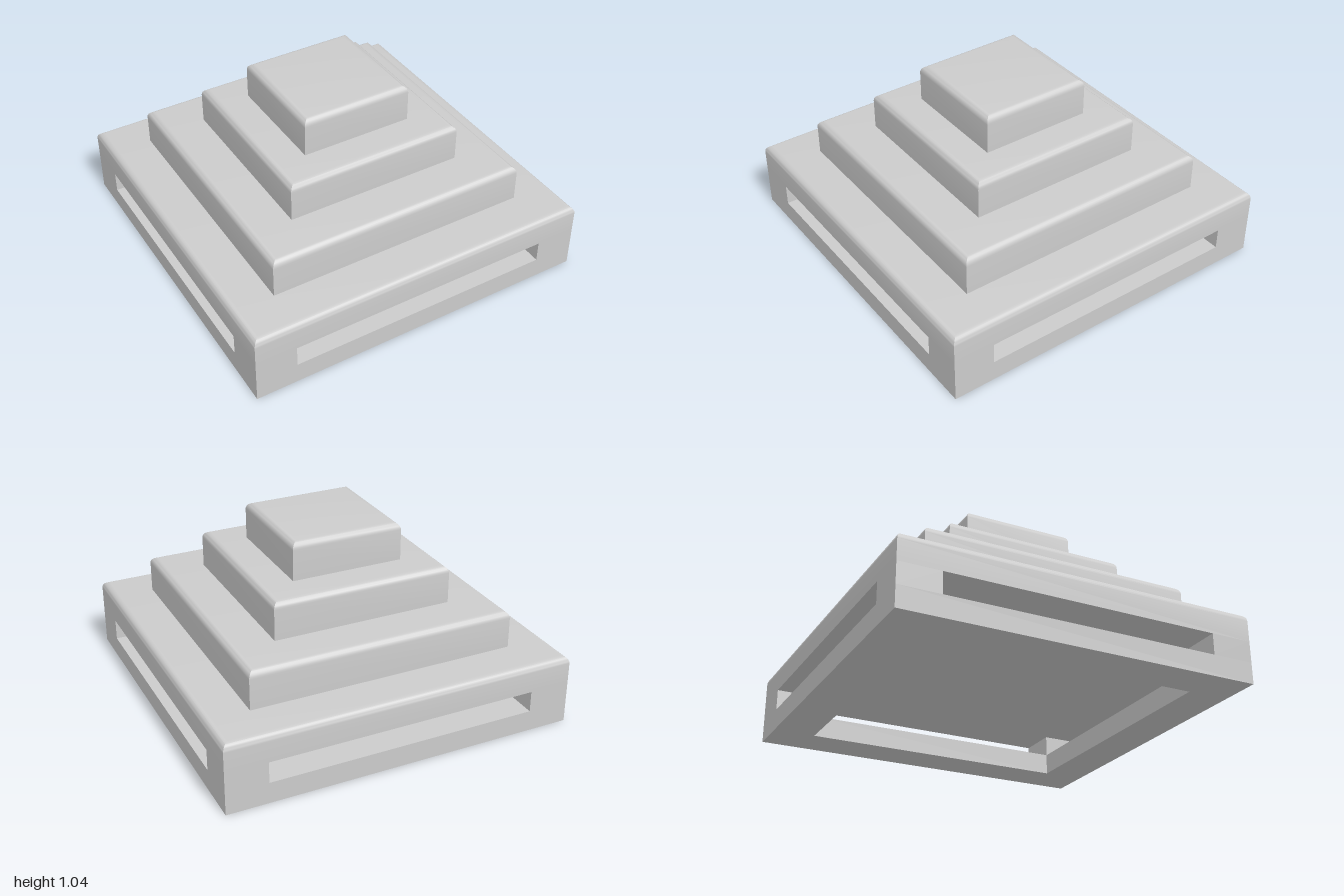
import * as THREE from 'three';
import { toCreasedNormals } from 'three/addons/utils/BufferGeometryUtils.js';

const material = new THREE.MeshStandardMaterial({ color: 0xcccccc });

// Sweeps a [halfWidth, y] profile around a square, with mitred corners
function squareSweep(name, profile) {
  const points = profile.map(([half, y]) => new THREE.Vector2(half * Math.SQRT2, y));
  const geometry = new THREE.LatheGeometry(points, 4, Math.PI / 4);
  const mesh = new THREE.Mesh(toCreasedNormals(geometry, 0.6), material);
  mesh.name = name;
  return mesh;
}

// Square block with a rounded top edge and sharp vertical edges
function tier(name, half, bottom, top, radius = 0.04) {
  const profile = [[0, bottom], [half, bottom]];
  const steps = 6;
  for (let i = 0; i <= steps; i++) {
    const a = (i / steps) * Math.PI / 2;
    profile.push([half - radius + radius * Math.cos(a), top - radius + radius * Math.sin(a)]);
  }
  profile.push([0, top]);
  return squareSweep(name, profile);
}

export function createModel() {
  const model = new THREE.Group();
  model.name = 'steppedPyramid';

  const inner = 0.765, slotBottom = 0.12, slotTop = 0.24;

  // Hollow base: bottom frame and corner posts leave a slot on every side
  model.add(squareSweep('bottomFrame', [
    [inner, 0], [1, 0], [1, slotBottom], [inner, slotBottom], [inner, 0],
  ]));
  const post = 1 - inner;
  const postGeometry = new THREE.BoxGeometry(post, slotTop - slotBottom, post);
  for (const sx of [-1, 1]) {
    for (const sz of [-1, 1]) {
      const mesh = new THREE.Mesh(postGeometry, material);
      mesh.name = 'cornerPost';
      mesh.position.set(sx * (inner + post / 2), (slotBottom + slotTop) / 2, sz * (inner + post / 2));
      model.add(mesh);
    }
  }

  // Stacked steps, from the base roof up
  model.add(tier('baseRoof', 1, slotTop, 0.4));
  model.add(tier('lowerStep', 0.76, 0.4, 0.615));
  model.add(tier('middleStep', 0.515, 0.615, 0.83));
  model.add(tier('topStep', 0.32, 0.83, 1.045));

  return model;
}
